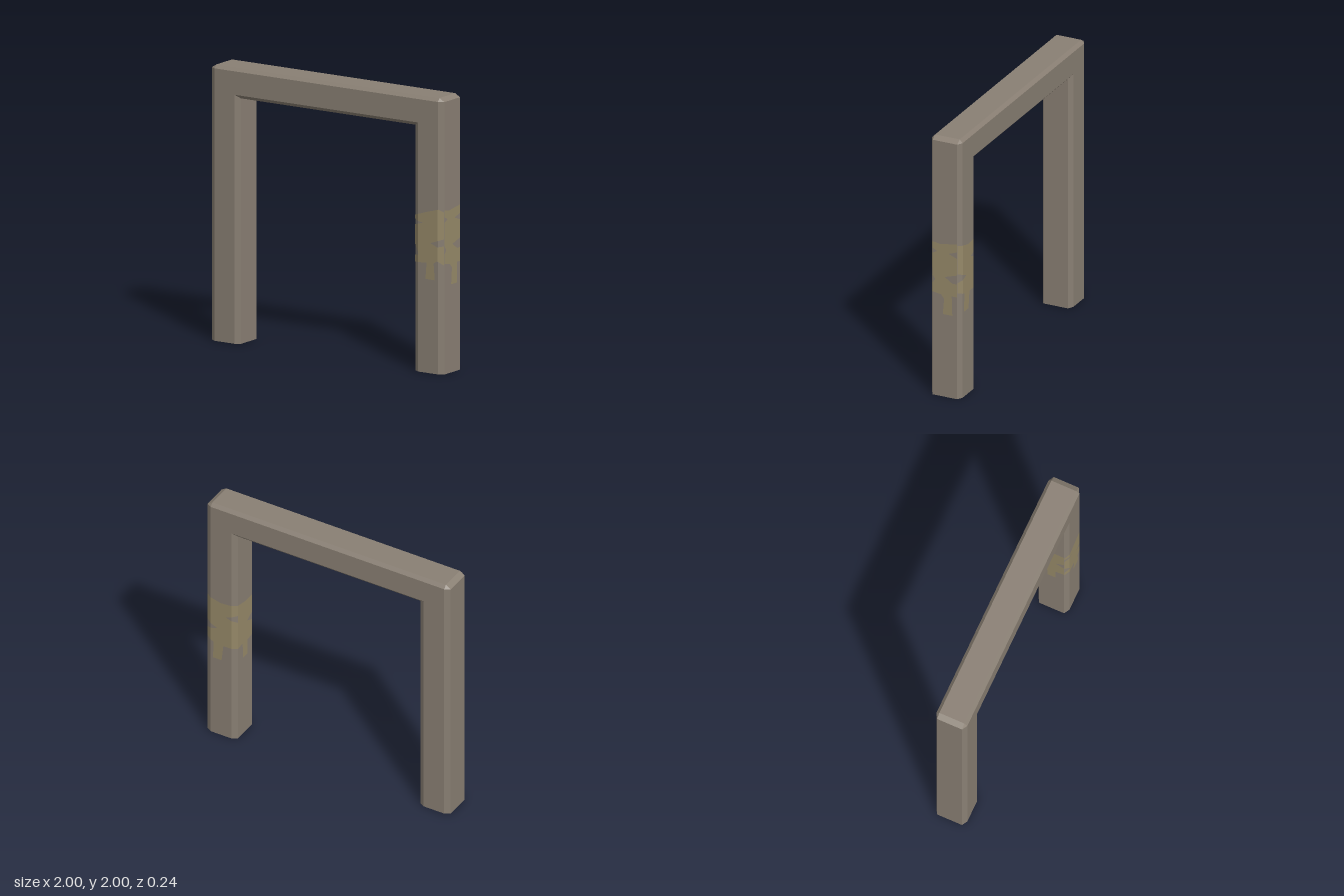
import * as THREE from 'three';

const HALF = 0.125;      // half width of a leg
const SIDE = 0.097;      // half depth where the bevel starts
const FACE = 0.12;       // half depth of the front and back faces
const BEVEL = 0.085;     // half width of the flat face of a leg
const LIFT = 0.002;      // height of the paint above the surface

// Bevelled octagonal section swept up one leg, across the beam and down the other
function frameGeometry() {
  const half = [
    [[0.75, 0], [0.79, 0], [0.96, 0], [1, 0]],
    [[0.75, 1.78], [0.79, 1.805], [0.96, 1.975], [1, 1.975]],
    [[0.75, 1.78], [0.79, 1.805], [0.96, 1.975], [0.96, 2]],
  ];
  const mirrored = half.map((s) => s.map(([x, y]) => [-x, y])).reverse();
  const depth = [SIDE, FACE, FACE, SIDE];
  const rings = [...half, ...mirrored].map((s) => {
    const front = s.map(([x, y], i) => new THREE.Vector3(x, y, depth[i]));
    const back = s.map(([x, y], i) => new THREE.Vector3(x, y, -depth[i])).reverse();
    return [...front, ...back];
  });
  const points = [];
  const triangle = (a, b, c) => {
    if (!a.equals(b) && !b.equals(c) && !c.equals(a)) points.push(a, b, c);
  };
  for (let i = 0; i < rings.length - 1; i++) {
    for (let k = 0; k < 8; k++) {
      const n = (k + 1) % 8;
      const a = rings[i][k], b = rings[i][n], c = rings[i + 1][n], d = rings[i + 1][k];
      triangle(a, b, c);
      triangle(a, c, d);
    }
  }
  // Undersides of both feet
  const first = rings[0], last = rings[rings.length - 1];
  for (let k = 1; k < 7; k++) {
    triangle(first[0], first[k + 1], first[k]);
    triangle(last[0], last[k], last[k + 1]);
  }
  const geometry = new THREE.BufferGeometry().setFromPoints(points);
  geometry.computeVertexNormals();
  return geometry;
}

// Keep the part of an outline on one side of a vertical line
function clip(outline, limit, sign) {
  const result = [];
  outline.forEach(([x, y], i) => {
    const [px, py] = outline[(i + outline.length - 1) % outline.length];
    const inside = (x - limit) * sign >= 0;
    const wasInside = (px - limit) * sign >= 0;
    if (inside !== wasInside) {
      result.push([limit, py + ((y - py) * (limit - px)) / (x - px)]);
    }
    if (inside) result.push([x, y]);
  });
  return result;
}

// Paint splash outlines, each as seen facing its side of the leg
const frontSplash = [
  [-0.125, 1.13], [0, 1.17], [0.09, 1.195], [0.125, 1.175], [0.125, 0.98], [0.02, 0.945],
  [0.08, 0.92], [0.125, 0.93], [0.125, 0.79], [0.08, 0.82], [0.05, 0.8], [0.06, 0.68],
  [-0.02, 0.68], [-0.01, 0.8], [-0.125, 0.79], [-0.125, 0.84], [-0.08, 0.85], [-0.085, 0.87],
  [-0.125, 0.92], [-0.125, 1.06], [-0.04, 1.085], [-0.125, 1.1],
];
const outerSplash = [
  [-0.097, 1.19], [-0.04, 1.18], [0.097, 1.2], [0.097, 1.14], [0.03, 1.115], [0.097, 1.09],
  [0.097, 0.96], [0, 0.93], [0.06, 0.89], [0.097, 0.89], [0.097, 0.79], [0.055, 0.79],
  [0.06, 0.64], [-0.015, 0.64], [-0.005, 0.76], [-0.03, 0.79], [-0.097, 0.8], [-0.097, 0.87],
  [-0.075, 0.9], [-0.097, 0.93], [-0.097, 1.1], [-0.06, 1.12], [-0.097, 1.14],
];
const backSplash = [
  [-0.125, 1.19], [0, 1.16], [0.125, 1.17], [0.125, 1.08], [0.04, 1.05], [0.125, 1.02],
  [0.125, 0.79], [0.02, 0.79], [0.005, 0.66], [-0.065, 0.66], [-0.06, 0.8], [-0.125, 0.82],
  [-0.125, 0.9], [-0.03, 0.93], [-0.125, 0.97],
];
const innerSplash = [
  [-0.097, 1.17], [0, 1.15], [0.097, 1.15], [0.097, 1], [0.03, 0.96], [0.097, 0.93],
  [0.097, 0.8], [0.03, 0.79], [0.03, 0.67], [-0.03, 0.67], [-0.035, 0.8], [-0.097, 0.79],
];

export function createModel() {
  const model = new THREE.Group();
  const stone = new THREE.MeshStandardMaterial({ color: 0x8a8074 });
  stone.name = 'taupe stone';
  const ochre = new THREE.MeshStandardMaterial({ color: 0x978a69 });
  ochre.name = 'faded ochre';

  const frame = new THREE.Mesh(frameGeometry(), stone);
  frame.name = 'archFrame';
  model.add(frame);

  // Paint wraps the left leg, folding over the bevels of its front and back
  const paint = new THREE.Group();
  paint.name = 'paintSplash';
  paint.position.x = 0.875;
  model.add(paint);

  function addSplash(name, outline, turn, bands, surface) {
    const side = new THREE.Group();
    side.name = name;
    side.rotation.y = turn;
    for (const [low, high] of bands) {
      const piece = clip(clip(outline, low, 1), high, -1);
      if (piece.length < 3) continue;
      const shape = new THREE.Shape(piece.map(([x, y]) => new THREE.Vector2(x, y)));
      const geometry = new THREE.ShapeGeometry(shape);
      const pos = geometry.attributes.position;
      for (let i = 0; i < pos.count; i++) pos.setZ(i, surface(pos.getX(i)) + LIFT);
      geometry.computeVertexNormals();
      const mesh = new THREE.Mesh(geometry, ochre);
      mesh.name = name + 'Patch';
      side.add(mesh);
    }
    paint.add(side);
  }

  const bevelled = (x) =>
    FACE - (FACE - SIDE) * Math.max(0, (Math.abs(x) - BEVEL) / (HALF - BEVEL));
  const faceBands = [[-HALF, -BEVEL], [-BEVEL, BEVEL], [BEVEL, HALF]];
  const flatBand = [[-SIDE, SIDE]];
  addSplash('frontPaint', frontSplash, 0, faceBands, bevelled);
  addSplash('backPaint', backSplash, Math.PI, faceBands, bevelled);
  addSplash('outerPaint', outerSplash, Math.PI / 2, flatBand, () => HALF);
  addSplash('innerPaint', innerSplash, -Math.PI / 2, flatBand, () => HALF);

  return model;
}
